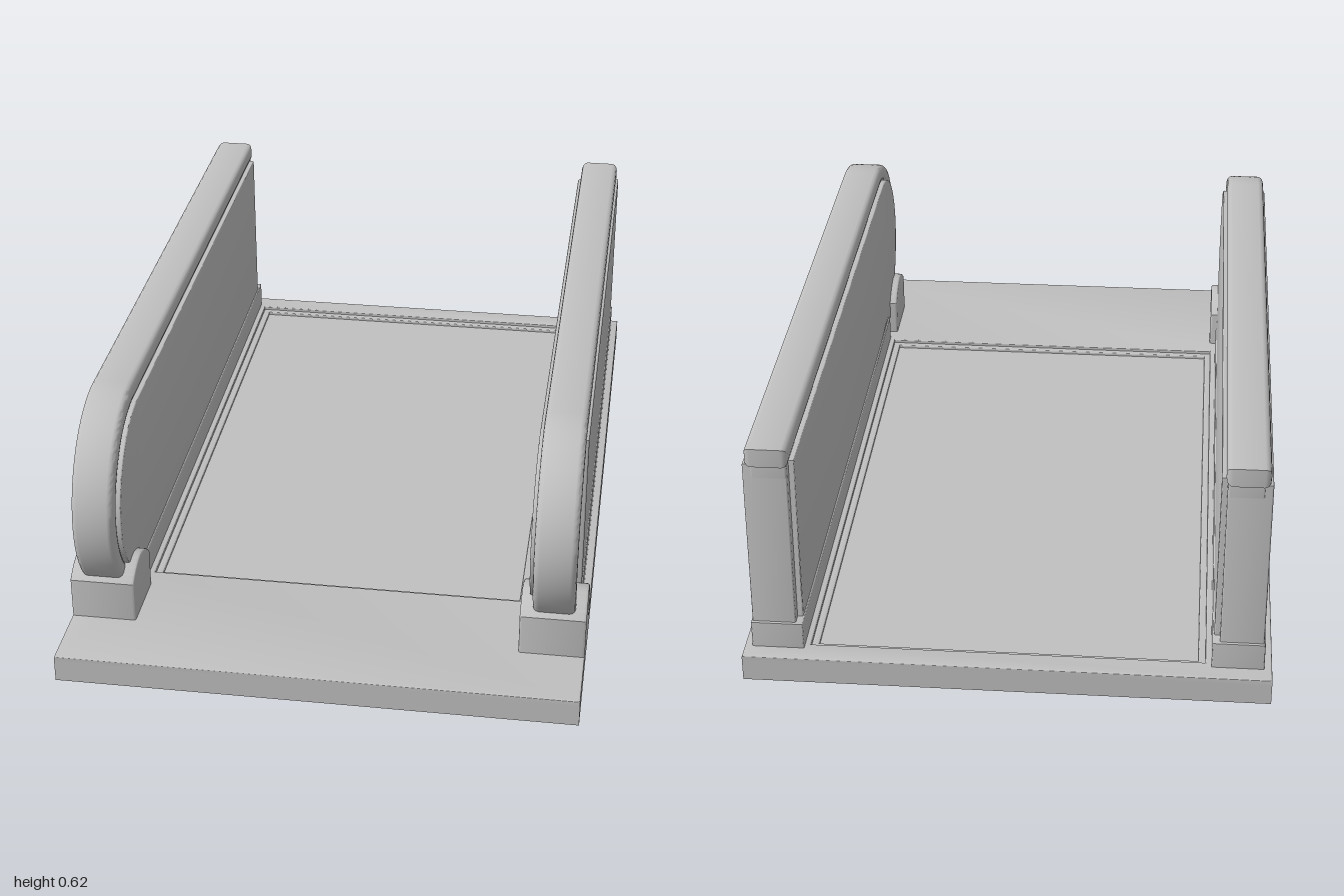
import * as THREE from 'three';
import { toCreasedNormals } from 'three/addons/utils/BufferGeometryUtils.js';

const grey = new THREE.MeshStandardMaterial({ color: 0xc0c0c0 });
grey.name = 'plain grey';

// Extrudes a shape to a total thickness, centred on z, with rounded edges
function slab(shape, thickness, bevel = 0) {
  const geo = new THREE.ExtrudeGeometry(shape, {
    depth: thickness - 2 * bevel,
    bevelEnabled: bevel > 0,
    bevelSize: bevel,
    bevelThickness: bevel,
    bevelOffset: -bevel,
    bevelSegments: 3,
    curveSegments: 32,
  });
  geo.translate(0, 0, -(thickness - 2 * bevel) / 2);
  return toCreasedNormals(geo, 0.6);
}

function addMesh(parent, name, geometry) {
  const mesh = new THREE.Mesh(geometry, grey);
  mesh.name = name;
  parent.add(mesh);
  return mesh;
}

const polygon = (points) => new THREE.Shape(points.map(([a, b]) => new THREE.Vector2(a, b)));
const rect = (x0, z0, x1, z1) => polygon([[x0, z0], [x1, z0], [x1, z1], [x0, z1]]);

// Horizontal plate between y0 and y1, optionally with a rectangular hole
function plate(parent, name, outer, hole, y0, y1, bevel = 0) {
  const shape = rect(...outer);
  if (hole) shape.holes.push(rect(...hole));
  const geo = slab(shape, y1 - y0, bevel).rotateX(Math.PI / 2);
  geo.translate(0, (y0 + y1) / 2, 0);
  return addMesh(parent, name, geo);
}

// Upright part whose outline is drawn in (z, y), between x0 and x1
function upright(parent, name, shape, x0, x1, bevel, side) {
  const geo = slab(shape, x1 - x0, bevel).rotateY(-Math.PI / 2);
  geo.translate((side * (x0 + x1)) / 2, 0, 0);
  return addMesh(parent, name, geo);
}

const ARC = { z: 0.6, y: 0.355 };
const TOP = Math.PI / 2;
const END = -0.87;

// Band that runs along the top and curls round the front end
function curledBand(outer, inner, backZ) {
  const s = new THREE.Shape();
  s.moveTo(backZ, ARC.y + outer);
  s.lineTo(ARC.z, ARC.y + outer);
  s.absarc(ARC.z, ARC.y, outer, TOP, END, true);
  s.lineTo(ARC.z + inner * Math.cos(END), ARC.y + inner * Math.sin(END));
  s.absarc(ARC.z, ARC.y, inner, END, TOP, false);
  s.lineTo(backZ, ARC.y + inner);
  s.closePath();
  return s;
}

function buildBase() {
  const base = new THREE.Group();
  base.name = 'base';
  // Hollow tray: thin rim below a deck
  plate(base, 'rim', [-0.64, -1, 0.64, 1], [-0.628, -0.988, 0.628, 0.988], 0, 0.06);
  plate(base, 'deck', [-0.64, -1, 0.64, 1], [-0.48, -0.94, 0.48, 0.6], 0.053, 0.07, 0.004);
  // Sunken floor with a narrow ledge around it
  plate(base, 'floorLedge', [-0.485, -0.945, 0.485, 0.605], [-0.463, -0.922, 0.463, 0.583], 0.044, 0.06, 0.003);
  plate(base, 'floorPanel', [-0.475, -0.935, 0.475, 0.595], null, 0.04, 0.052);
  return base;
}

function buildSide(side) {
  const g = new THREE.Group();
  g.name = side > 0 ? 'leftSide' : 'rightSide';

  // Rounded rail and the thinner liner beneath it
  upright(g, 'rail', curledBand(0.27, 0.222, -0.945), 0.508, 0.612, 0.015, side);
  upright(g, 'railLiner', curledBand(0.226, 0.19, -0.94), 0.512, 0.6, 0.006, side);

  // Main wall with slightly sloping ends
  const wall = polygon([[-0.952, 0.07], [0.618, 0.07], [0.65, 0.58], [-0.938, 0.58]]);
  upright(g, 'wall', wall, 0.512, 0.618, 0.004, side);

  // Inner panel that closes the curled end
  const panel = new THREE.Shape();
  panel.moveTo(-0.925, 0.07);
  panel.lineTo(0.62, 0.07);
  panel.lineTo(0.66, 0.15);
  panel.lineTo(ARC.z + 0.23 * Math.cos(END), ARC.y + 0.23 * Math.sin(END));
  panel.absarc(ARC.z, ARC.y, 0.226, END, TOP, false);
  panel.lineTo(-0.915, 0.581);
  panel.closePath();
  upright(g, 'innerPanel', panel, 0.498, 0.518, 0.004, side);

  // Skirting along the foot of the wall
  upright(g, 'skirting', rect(-0.958, 0.06, 0.615, 0.14), 0.494, 0.621, 0.003, side);

  // Post and slat standing in the curled end
  const post = polygon([[0.635, 0.09], [0.665, 0.09], [0.68, 0.55], [0.652, 0.57]]);
  upright(g, 'endPost', post, 0.512, 0.606, 0.006, side);
  const slat = polygon([[0.722, 0.18], [0.738, 0.18], [0.757, 0.5], [0.741, 0.515]]);
  upright(g, 'slat', slat, 0.512, 0.57, 0.004, side);

  // Foot block with a domed top
  const foot = new THREE.Shape();
  foot.moveTo(0.65, 0.045);
  foot.lineTo(0.822, 0.045);
  foot.lineTo(0.822, 0.175);
  foot.quadraticCurveTo(0.785, 0.21, 0.735, 0.212);
  foot.quadraticCurveTo(0.69, 0.208, 0.65, 0.168);
  foot.closePath();
  upright(g, 'foot', foot, 0.478, 0.64, 0.006, side);
  return g;
}

export function createModel() {
  const model = new THREE.Group();
  model.name = 'walledTray';
  model.add(buildBase());
  for (const side of [1, -1]) model.add(buildSide(side));
  return model;
}
